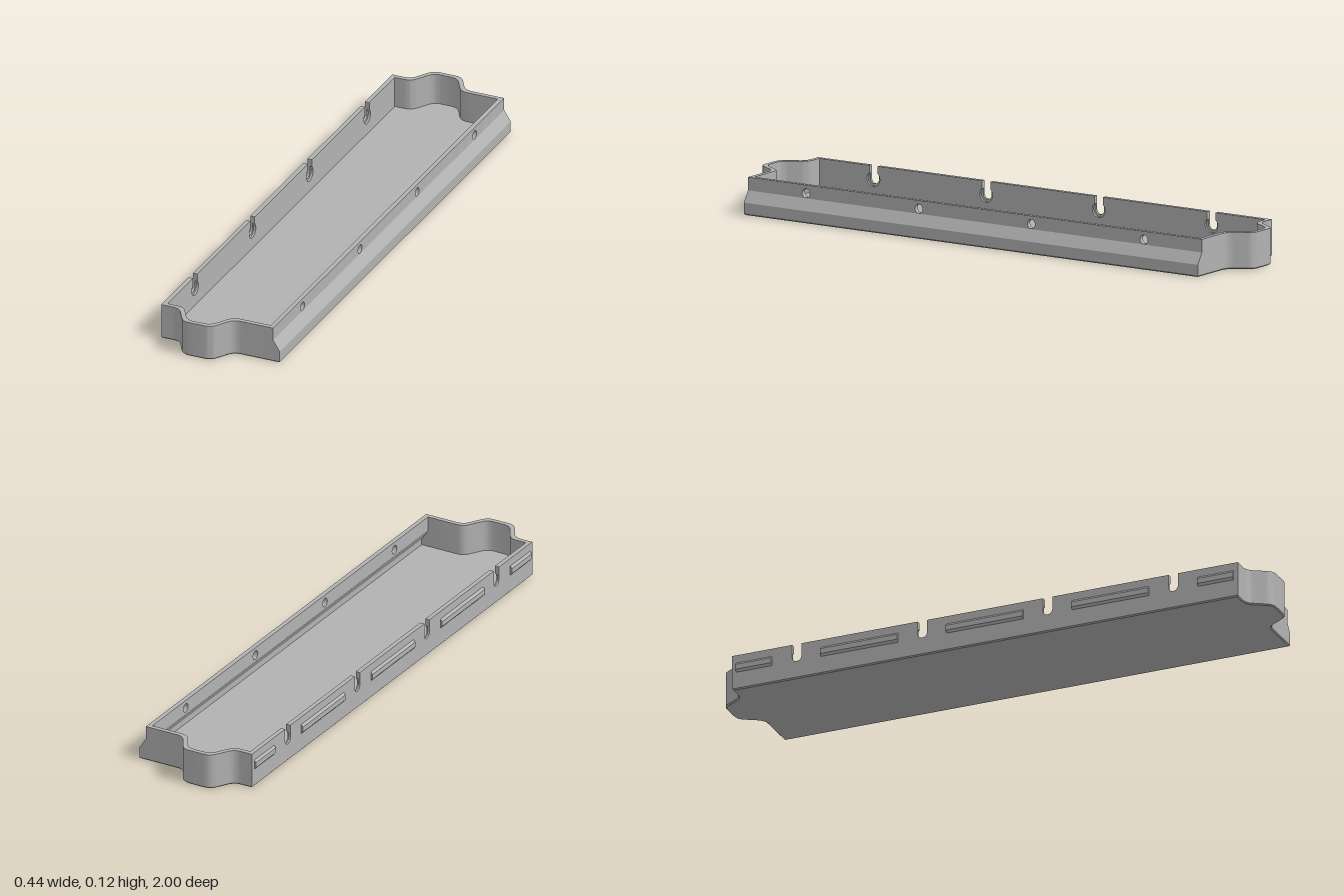
import * as THREE from 'three';
import { toCreasedNormals } from 'three/addons/utils/BufferGeometryUtils.js';

const H = 0.125, T = 0.016, BASE = 0.004;  // height, wall thickness, bottom chamfer
const LEFT = -0.215, RIGHT = 0.195, FOOT = 0.219, END = 0.92;
const BUMP_X = -0.048;
const HOLES = [-0.685, -0.228, 0.228, 0.685];

export function createModel() {
  const group = new THREE.Group();
  const grey = new THREE.MeshStandardMaterial({ color: 0xb2b2b2 });
  grey.name = 'grey plastic';

  const add = (name, geometry) => {
    const mesh = new THREE.Mesh(toCreasedNormals(geometry, 0.5), grey);
    mesh.name = name;
    group.add(mesh);
    return mesh;
  };
  const extrude = (shape, depth, extra = {}) =>
    new THREE.ExtrudeGeometry(shape, { depth, bevelEnabled: false, curveSegments: 12, ...extra });
  const polygon = (pts) => new THREE.Shape(pts.map(([x, y]) => new THREE.Vector2(x, y)));

  // End outline with a rounded bump, from x0 to x1, offset inward by t
  const endLine = (x0, x1, t) => {
    const foot = 0.1 - 0.57 * t, top = 0.052 - 0.57 * t;
    const z0 = END - t, z1 = 1 - t;
    const corners = [[x0, z0], [BUMP_X - foot, z0], [BUMP_X - top, z1],
      [BUMP_X + top, z1], [BUMP_X + foot, z0], [x1, z0]].map((p) => new THREE.Vector2(...p));
    const out = [corners[0]];
    for (let i = 1; i < 5; i++) {
      const c = corners[i];
      const toward = (o) => c.clone().add(o.clone().sub(c).setLength(0.024));
      out.push(...new THREE.QuadraticBezierCurve(
        toward(corners[i - 1]), c, toward(corners[i + 1])).getPoints(7));
    }
    out.push(corners[5]);
    return out.map((p) => [p.x, p.y]);
  };

  // Floor with chamfered lower edge
  const front = endLine(LEFT, FOOT, 0);
  const back = front.map(([x, z]) => [x, -z]).reverse();
  const floor = extrude(polygon([...front, ...back]), 0.008, {
    bevelEnabled: true, bevelThickness: BASE, bevelSize: BASE, bevelOffset: -BASE, bevelSegments: 1 });
  floor.rotateX(-Math.PI / 2).translate(0, BASE, 0);
  add('floor', floor);

  // End walls, each with a cap filling the flared corner
  const split = 0.17;
  for (const s of [1, -1]) {
    const outer = endLine(LEFT, split, 0), inner = endLine(LEFT, split, T).reverse();
    const wall = extrude(polygon([...outer, ...inner].map(([x, z]) => [x, -s * z])), H - BASE);
    wall.rotateX(-Math.PI / 2).translate(0, BASE, 0);
    add(s > 0 ? 'frontEndWall' : 'backEndWall', wall);

    const cap = extrude(polygon([[split, BASE], [FOOT, BASE], [FOOT, 0.042],
      [RIGHT, 0.08], [RIGHT, H], [split, H]]), T);
    cap.translate(0, 0, s > 0 ? END - T : -END);
    add(s > 0 ? 'frontCornerCap' : 'backCornerCap', cap);
  }

  // Flared lower part of the wall with holes
  const inX = RIGHT - T, L = END - T;
  const flare = extrude(polygon([[inX, 0.08], [inX, 0.074], [FOOT - T, 0.036], [FOOT - T, BASE],
    [FOOT, BASE], [FOOT, 0.042], [RIGHT, 0.08]]), 2 * L);
  flare.translate(0, 0, -L);
  add('flaredWallBase', flare);

  // Upright upper part, pierced by round holes
  const panel = polygon([[-L, 0.08], [L, 0.08], [L, H], [-L, H]]);
  for (const z of HOLES) {
    panel.holes.push(new THREE.Path().absarc(z, 0.097, 0.0155, 0, Math.PI * 2, true));
  }
  add('holedWall', extrude(panel, T).rotateY(Math.PI / 2).translate(inX, 0, 0));

  // Slotted wall: outer layer has plain slots, inner layer widens into keyholes
  const slotted = (radius) => {
    const w = 0.017, cy = 0.08;
    const a = Math.acos(w / radius);
    const shape = new THREE.Shape();
    shape.moveTo(-L, BASE);
    shape.lineTo(-L, H);
    for (const z of HOLES) {
      shape.lineTo(z - w, H);
      shape.absarc(z, cy, radius, Math.PI - a, Math.PI * 2 + a, false);
      shape.lineTo(z + w, H);
    }
    shape.lineTo(L, H);
    shape.lineTo(L, BASE);
    return shape;
  };
  [['slottedWallOuter', 0.0171], ['slottedWallInner', 0.026]].forEach(([name, r], i) => {
    add(name, extrude(slotted(r), T / 2).rotateY(Math.PI / 2).translate(LEFT + i * T / 2, 0, 0));
  });

  // Chamfered grip ribs between the slots
  const rib = polygon([[LEFT + 0.002, 0.063], [LEFT, 0.063], [-0.222, 0.071],
    [-0.222, 0.089], [LEFT, 0.097], [LEFT + 0.002, 0.097]]);
  for (const [z0, z1] of [[-0.905, -0.775], [-0.597, -0.317], [-0.14, 0.14],
    [0.317, 0.597], [0.775, 0.905]]) {
    add('gripRib', extrude(rib, z1 - z0).translate(0, 0, z0));
  }
  return group;
}
